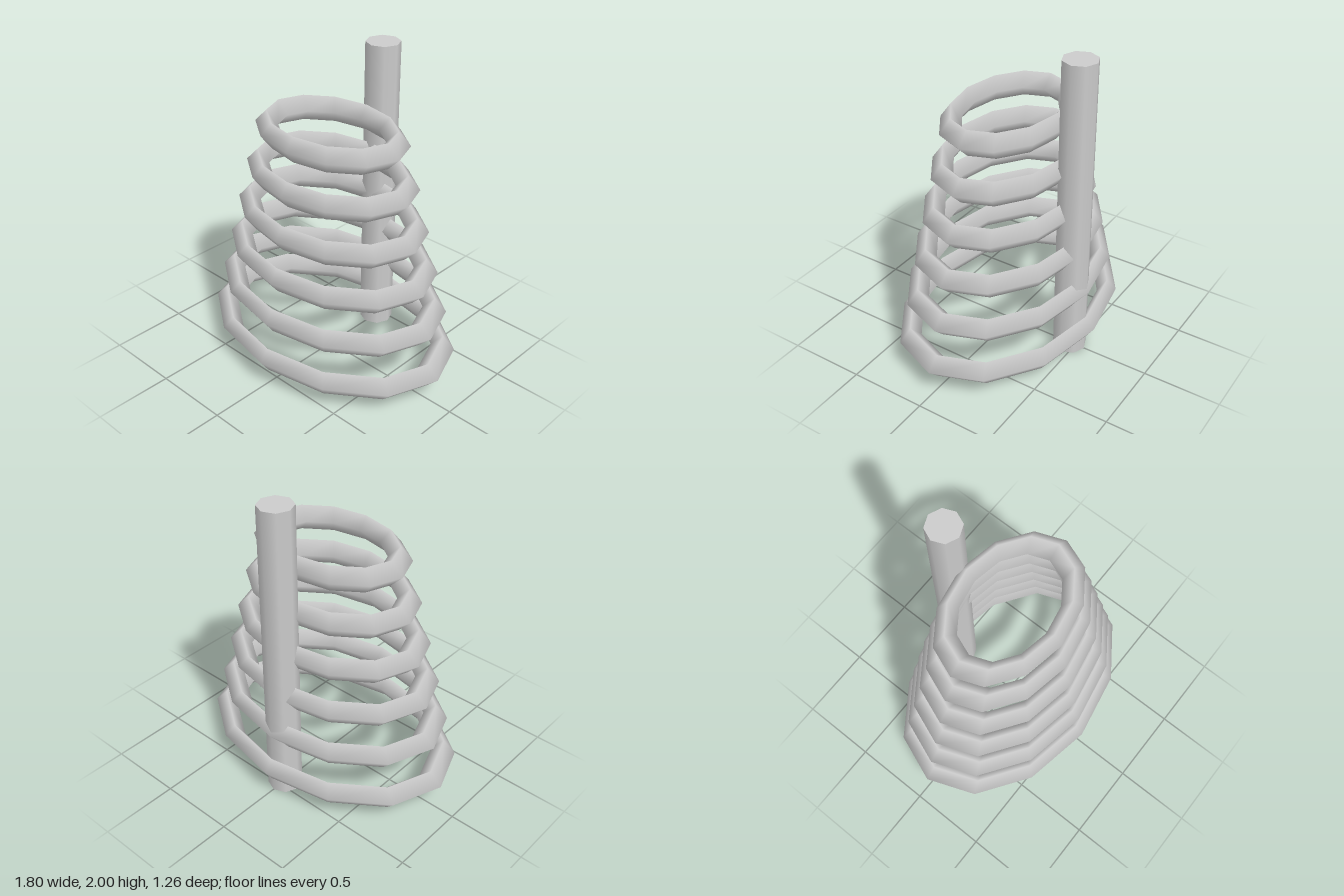
import * as THREE from 'three';

export function createModel() {
  const model = new THREE.Group();
  model.name = 'ribcage';
  const material = new THREE.MeshStandardMaterial({ color: 0xcccccc });

  // Spine: an eight-sided post behind the centre
  const spine = new THREE.Mesh(new THREE.CylinderGeometry(0.109, 0.109, 2, 8), material);
  spine.name = 'spine';
  spine.position.set(0, 1, -0.454);
  model.add(spine);

  // Ribs: oval rings with a diamond section, shrinking evenly upwards
  const ribCount = 6;
  for (let i = 0; i < ribCount; i++) {
    const radius = 0.816 - 0.0733 * i;
    const geometry = new THREE.TorusGeometry(radius, 0.082, 4, 12);
    geometry.rotateX(Math.PI / 2);
    geometry.scale(1, 1, 0.7);
    const rib = new THREE.Mesh(geometry, material);
    rib.name = `rib${i + 1}`;
    rib.position.y = 0.184 + 0.2728 * i;
    model.add(rib);
  }
  return model;
}
